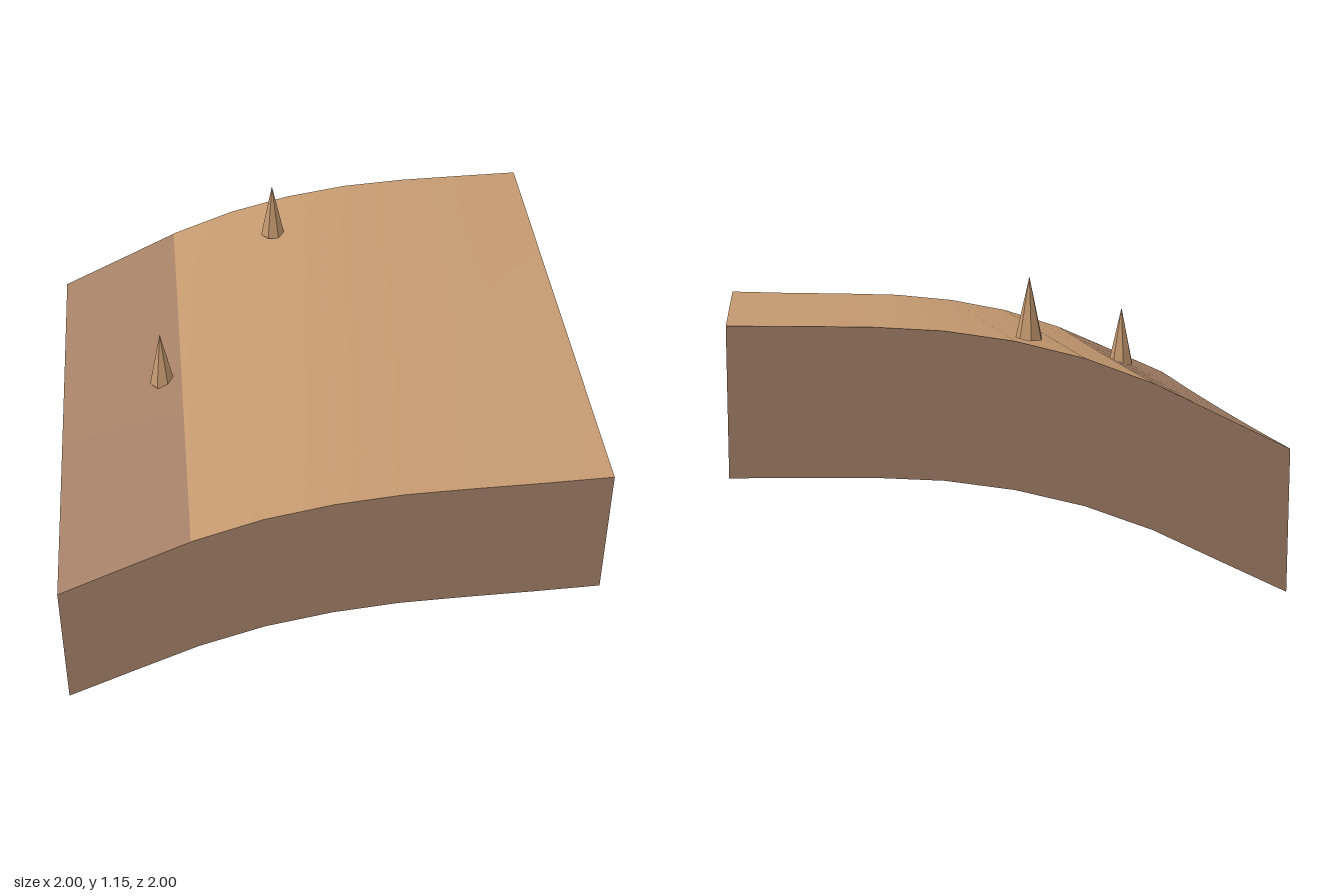
import * as THREE from 'three';

const DEPTH = 0.53; // height of the side walls
const BAND = -0.51; // edge of the darker strip
const STEPS = [-1, -0.75, -0.5, -0.25, 0, 0.25, 0.5, 0.75, 1];
const FRONT = [0.54, 0.652, 0.762, 0.843, 0.893, 0.92, 0.929, 0.935, 0.944];
const BACK = [0.54, 0.662, 0.785, 0.88, 0.945, 0.985, 1.002, 1.008, 1.013];

// Height of the ground: a blend of the front and back profiles
function height(x, z) {
  const t = (x + 1) * 4;
  const i = Math.min(7, Math.floor(t));
  const at = (p) => p[i] + (p[i + 1] - p[i]) * (t - i);
  const blend = (1 - z) / 2;
  const sag = 0.008 * (1 - z * z) * Math.max(0, -x);
  return at(FRONT) * (1 - blend) + at(BACK) * blend - sag;
}

// Indexed sheet over two lists of parameters
function sheet(us, vs, point) {
  const positions = [];
  const index = [];
  const n = vs.length;
  for (const u of us) for (const v of vs) positions.push(...point(u, v));
  for (let i = 0; i < us.length - 1; i++) {
    for (let j = 0; j < n - 1; j++) {
      const a = i * n + j;
      index.push(a, a + 1, a + n, a + 1, a + n + 1, a + n);
    }
  }
  const geometry = new THREE.BufferGeometry();
  geometry.setAttribute('position', new THREE.Float32BufferAttribute(positions, 3));
  geometry.setIndex(index);
  geometry.computeVertexNormals();
  return geometry;
}

export function createModel() {
  const model = new THREE.Group();
  model.name = 'terrainTile';
  const sand = new THREE.MeshStandardMaterial({ color: 0xc3986f, side: THREE.DoubleSide });
  sand.name = 'sand';
  const earth = new THREE.MeshStandardMaterial({ color: 0xa47f66, side: THREE.DoubleSide });
  earth.name = 'earth';
  const stone = new THREE.MeshStandardMaterial({ color: 0xc3986f, flatShading: true });
  stone.name = 'spike sand';

  const add = (name, geometry, material) => {
    const mesh = new THREE.Mesh(geometry, material);
    mesh.name = name;
    model.add(mesh);
    return mesh;
  };

  // Curved ground, with an earth strip along the low side
  const xs = [...STEPS, BAND].sort((a, b) => a - b);
  const ground = sheet(xs, STEPS, (x, z) => [x, height(x, z), z]);
  const stripCount = xs.indexOf(BAND) * (STEPS.length - 1) * 6;
  ground.addGroup(0, stripCount, 0);
  ground.addGroup(stripCount, ground.index.count - stripCount, 1);
  add('ground', ground, [earth, sand]);

  // Four walls hanging from the edges, open underneath
  const walls = {
    frontWall: (u) => [u, 1],
    backWall: (u) => [-u, -1],
    leftWall: (u) => [1, -u],
    rightWall: (u) => [-1, u],
  };
  for (const [name, edge] of Object.entries(walls)) {
    const wall = sheet(STEPS, [0, DEPTH], (u, drop) => {
      const [x, z] = edge(u);
      return [x, height(x, z) - drop, z];
    });
    add(name, wall, earth);
  }

  // Two seven-sided spikes
  const spike = new THREE.ConeGeometry(0.051, 0.23, 7);
  spike.rotateY(Math.PI);
  for (const [x, y, z] of [[-0.587, 0.722, 0], [-0.087, 0.92, -0.75]]) {
    add('spike', spike, stone).position.set(x, y + 0.115, z);
  }
  return model;
}
